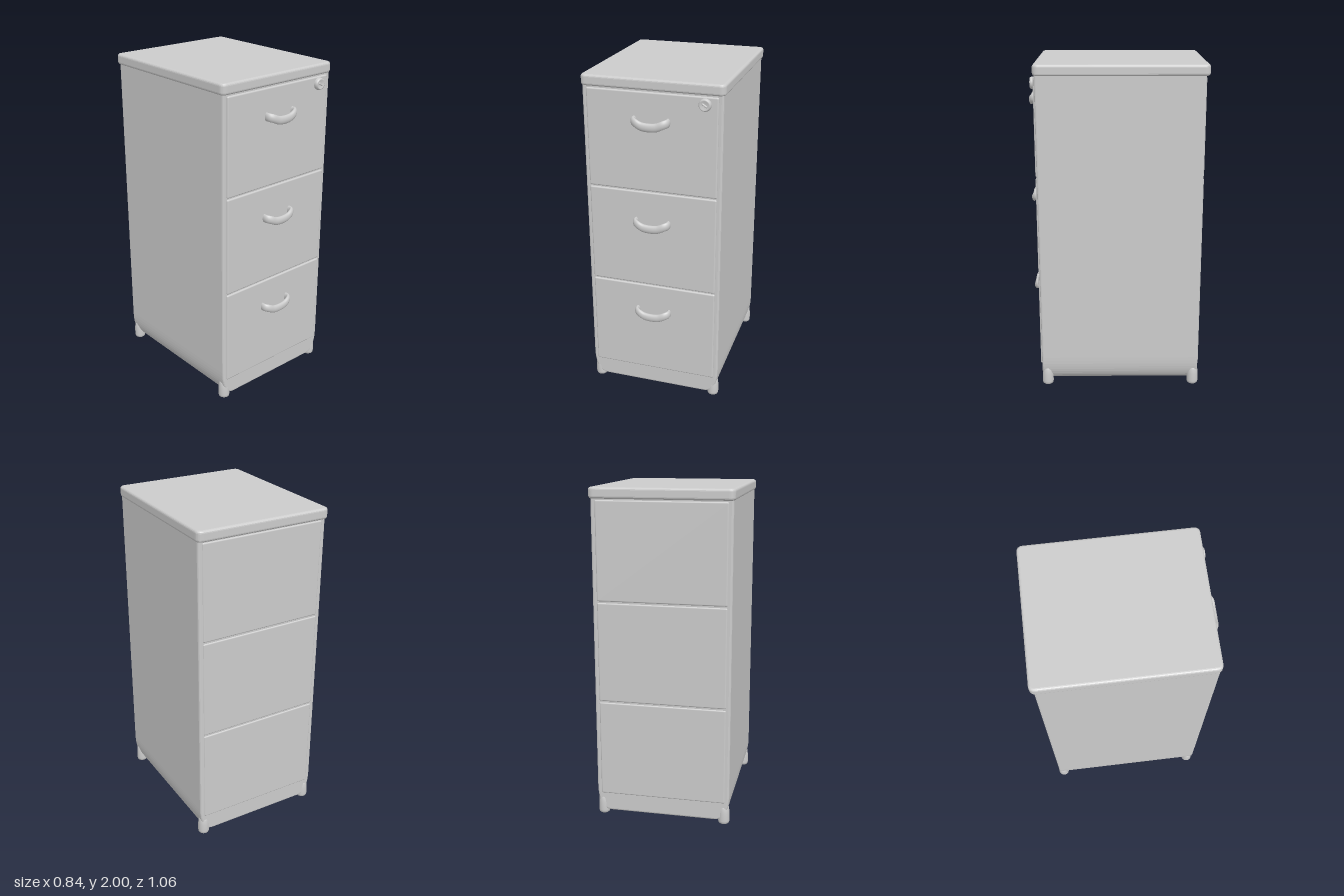
import * as THREE from 'three';
import { RoundedBoxGeometry } from 'three/addons/geometries/RoundedBoxGeometry.js';

const material = new THREE.MeshStandardMaterial({ color: 0xcccccc });

export function createModel() {
  const group = new THREE.Group();
  const add = (name, geometry, x = 0, y = 0, z = 0) => {
    const mesh = new THREE.Mesh(geometry, material);
    mesh.name = name;
    mesh.position.set(x, y, z);
    group.add(mesh);
    return mesh;
  };

  // Carcass: upright section with rounded lower edges, run front to back
  const b = 0.012, w = 0.41 - b, low = 0.025 + b, high = 1.95;
  const section = new THREE.Shape();
  section.moveTo(-w, high);
  section.lineTo(-w, 0.19);
  section.bezierCurveTo(-w, 0.1, -w + 0.02, low, -w + 0.075, low);
  section.lineTo(w - 0.075, low);
  section.bezierCurveTo(w - 0.02, low, w, 0.1, w, 0.19);
  section.lineTo(w, high);
  section.closePath();
  const back = -0.508, front = 0.465;
  add('carcass', new THREE.ExtrudeGeometry(section, {
    depth: front - back - 2 * b, bevelThickness: b, bevelSize: b, bevelSegments: 3, curveSegments: 12,
  }), 0, 0, back + b);

  // Top slab: rounded plan corners and softened edges
  const e = 0.015, tx = 0.42 - e, z0 = -0.53 + e, z1 = 0.475 - e, r = 0.02;
  const plan = new THREE.Shape();
  plan.moveTo(-tx + r, -z1);
  plan.lineTo(tx - r, -z1);
  plan.quadraticCurveTo(tx, -z1, tx, -z1 + r);
  plan.lineTo(tx, -z0 - r);
  plan.quadraticCurveTo(tx, -z0, tx - r, -z0);
  plan.lineTo(-tx + r, -z0);
  plan.quadraticCurveTo(-tx, -z0, -tx, -z0 - r);
  plan.lineTo(-tx, -z1 + r);
  plan.quadraticCurveTo(-tx, -z1, -tx + r, -z1);
  const slab = new THREE.ExtrudeGeometry(plan, {
    depth: 0.065 - 2 * e, bevelThickness: e, bevelSize: e, bevelSegments: 4, curveSegments: 8,
  });
  slab.rotateX(-Math.PI / 2);
  add('topSlab', slab, 0, 1.935 + e, 0);

  // Bow handle: flattened tube that sags in the middle
  const path = new THREE.CatmullRomCurve3([
    [-0.098, 0.008, -0.02], [-0.098, 0.008, 0.02], [-0.08, 0.005, 0.036], [-0.04, -0.004, 0.041],
    [0.04, -0.004, 0.041], [0.08, 0.005, 0.036], [0.098, 0.008, 0.02], [0.098, 0.008, -0.02],
  ].map((p) => new THREE.Vector3(...p)));
  const handle = new THREE.TubeGeometry(path, 48, 0.014, 14).scale(1, 1.8, 1);

  // Drawer fronts, repeated as matching panels on the back
  const drawers = [[0.138, 0.728, 0.54], [0.736, 1.337, 1.135], [1.345, 1.928, 1.75]];
  for (const [y0, y1, handleY] of drawers) {
    const panel = new RoundedBoxGeometry(0.768, y1 - y0, 0.03, 3, 0.009);
    add('drawerFront', panel, 0, (y0 + y1) / 2, front - 0.006);
    add('backPanel', panel, 0, (y0 + y1) / 2, back + 0.01);
    add('drawerHandle', handle, 0, handleY, 0.475);
  }

  // Lock with a raised rim and a keyhole bar
  const rim = [[0.036, -0.01], [0.036, 0.008], [0.032, 0.019], [0.026, 0.021], [0.022, 0.017], [0, 0.015]];
  const lock = new THREE.LatheGeometry(rim.map((p) => new THREE.Vector2(...p)), 32);
  lock.rotateX(Math.PI / 2);
  add('lock', lock, 0.31, 1.885, 0.475);
  add('lockBar', new RoundedBoxGeometry(0.034, 0.011, 0.012, 2, 0.004), 0.31, 1.885, 0.491).rotation.z = -0.6;

  // Rounded feet at the four corners
  const profile = [[0, 0], [0.024, 0], [0.032, 0.006], [0.035, 0.02], [0.034, 0.07], [0.031, 0.1], [0.024, 0.122], [0, 0.135]];
  const foot = new THREE.LatheGeometry(profile.map((p) => new THREE.Vector2(...p)), 24);
  for (const x of [-0.376, 0.376]) {
    for (const z of [-0.48, 0.432]) add('foot', foot, x, 0, z);
  }
  return group;
}
